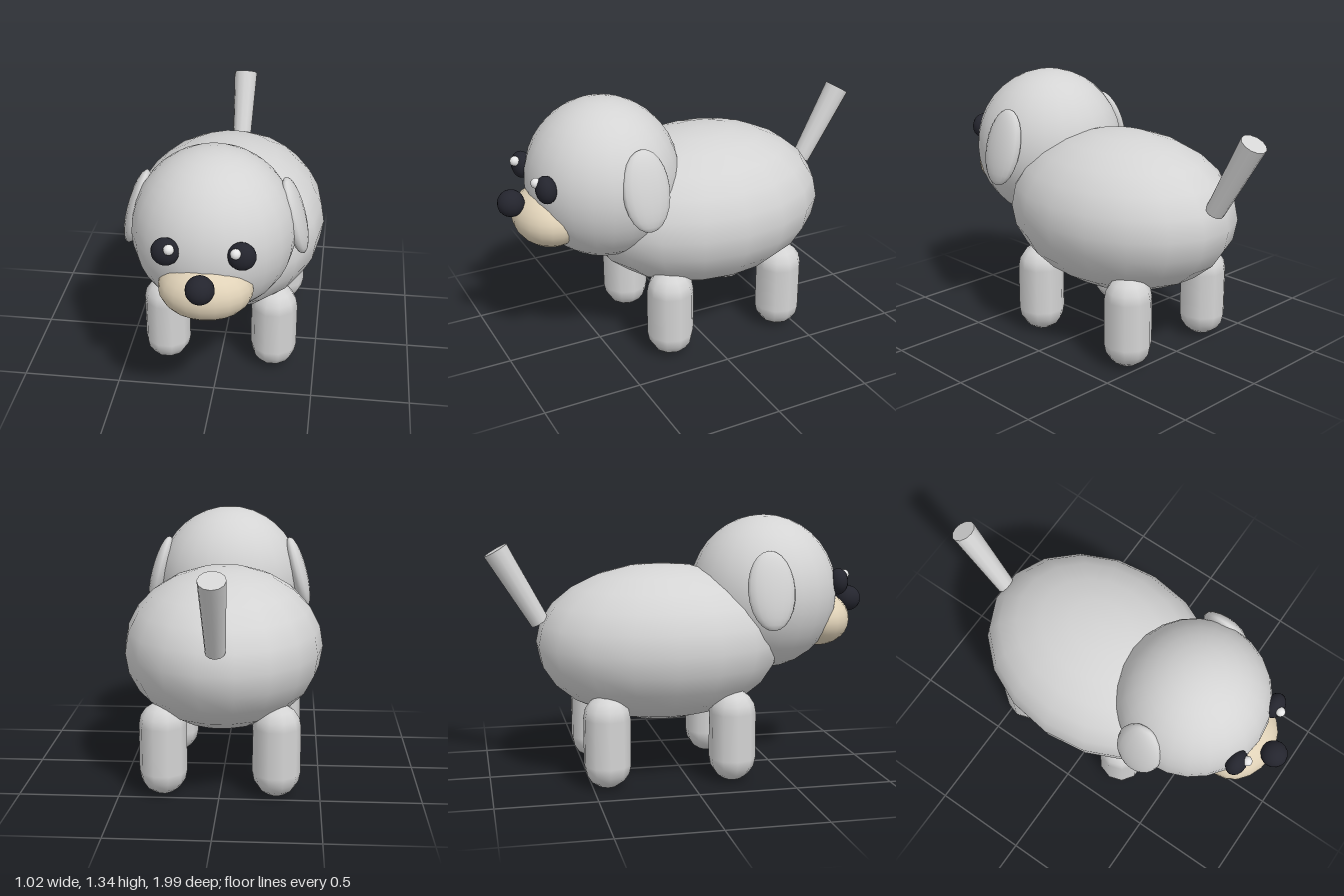
import * as THREE from 'three';

const mat = (name, color) => {
  const m = new THREE.MeshStandardMaterial({ color });
  m.name = name;
  return m;
};

export function createModel() {
  const fur = mat('greyFur', 0xd4d4d4);
  const cream = mat('creamMuzzle', 0xe0d2b8);
  const dark = mat('darkEyes', 0x24252e);
  const white = mat('whiteGlint', 0xffffff);
  const dog = new THREE.Group();
  dog.name = 'dog';

  const add = (name, geometry, material, x, y, z) => {
    const mesh = new THREE.Mesh(geometry, material);
    mesh.name = name;
    mesh.position.set(x, y, z);
    dog.add(mesh);
    return mesh;
  };

  // Ellipsoid with its own radii along x, y and z
  const ellipsoid = (name, material, pos, radii, w = 20, h = 14) =>
    add(name, new THREE.SphereGeometry(1, w, h).scale(...radii), material, ...pos);

  // Body and head
  ellipsoid('body', fur, [0, 0.69, -0.1], [0.51, 0.405, 0.65], 18, 12);
  ellipsoid('head', fur, [0, 0.934, 0.455], [0.394, 0.404, 0.387], 24, 18);

  // Muzzle and nose
  ellipsoid('muzzle', cream, [0, 0.783, 0.75], [0.222, 0.147, 0.175], 20, 14);
  ellipsoid('nose', dark, [0, 0.882, 0.934], [0.067, 0.067, 0.067], 16, 12);

  for (const [side, s] of [['left', 1], ['right', -1]]) {
    // Eyes with small glints
    ellipsoid(side + 'Eye', dark, [s * 0.173, 0.996, 0.812], [0.066, 0.068, 0.05], 16, 12);
    ellipsoid(side + 'EyeGlint', white, [s * 0.149, 1.03, 0.853], [0.025, 0.025, 0.025], 12, 8);

    // Floppy ear, its top leaning in towards the head
    const ear = ellipsoid(side + 'Ear', fur, [s * 0.38, 0.985, 0.39], [0.05, 0.2, 0.122], 16, 12);
    ear.rotation.z = s * 0.26;

    // Legs
    for (const [end, z] of [['Front', 0.22], ['Back', -0.425]]) {
      add(side + end + 'Leg', new THREE.CapsuleGeometry(0.12, 0.237, 4, 10), fur, s * 0.282, 0.2385, z);
    }
  }

  // Tail, widening towards its raised tip
  const tail = add('tail', new THREE.CylinderGeometry(0.065, 0.048, 0.43, 12), fur, 0, 0.991, -0.83);
  tail.rotation.x = -Math.PI / 6;

  return dog;
}
